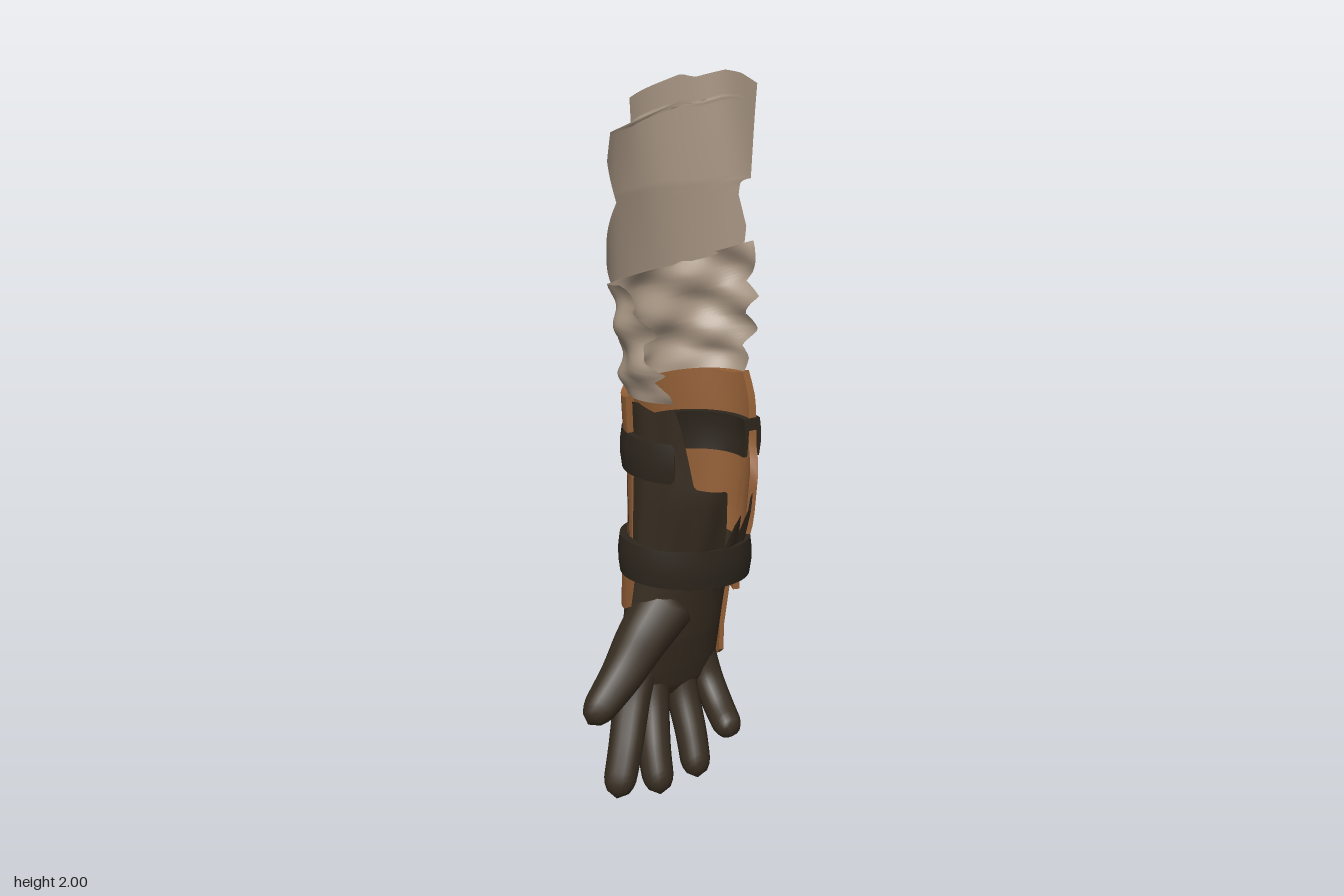
import * as THREE from 'three';
import { mergeVertices, toCreasedNormals } from 'three/addons/utils/BufferGeometryUtils.js';

const mat = (name, color) => new THREE.MeshStandardMaterial({ name, color, side: THREE.DoubleSide });

// Piecewise linear lookup in rows of [key, ...values]
function look(table, t) {
  if (t <= table[0][0]) return table[0].slice(1);
  for (let i = 1; i < table.length; i++) {
    const a = table[i - 1], b = table[i];
    if (t <= b[0]) {
      const k = (t - a[0]) / (b[0] - a[0]);
      return a.slice(1).map((v, j) => v + (b[j + 1] - v) * k);
    }
  }
  return table[table.length - 1].slice(1);
}
const mix = (a, b, t) => a + (b - a) * t;

// Curved sheet round the arm. Profile rows are [y, cx, cz, rx, rz].
// rule(u, v) gives [angle, y, swell]; angle 0 is the back, 90 is +x, 180 the front.
function shell(profile, nu, nv, rule, thick = 0) {
  const pos = [], idx = [], w = nu + 1, layer = w * (nv + 1);
  for (const inset of thick ? [0, thick] : [0])
    for (let j = 0; j <= nv; j++)
      for (let i = 0; i <= nu; i++) {
        const [deg, y, swell = 0] = rule(i / nu, j / nv);
        const [cx, cz, rx, rz] = look(profile, y);
        const a = THREE.MathUtils.degToRad(deg), r = swell - inset;
        pos.push(cx + (rx + r) * Math.sin(a), y, cz - (rz + r) * Math.cos(a));
      }
  const quad = (a, b, c, d) => idx.push(a, b, c, a, c, d);
  for (let j = 0; j < nv; j++)
    for (let i = 0; i < nu; i++) {
      const a = j * w + i, b = a + 1, c = b + w, d = a + w;
      quad(a, d, c, b);
      if (thick) quad(a + layer, b + layer, c + layer, d + layer);
    }
  if (thick) { // rims between outer and inner sheet
    for (let i = 0; i < nu; i++) {
      const t = nv * w + i;
      quad(i, i + 1, i + 1 + layer, i + layer);
      quad(t + 1, t, t + layer, t + 1 + layer);
    }
    for (let j = 0; j < nv; j++) {
      const l = j * w, r = l + nu;
      quad(l + w, l, l + layer, l + w + layer);
      quad(r, r + w, r + w + layer, r + layer);
    }
  }
  let g = new THREE.BufferGeometry();
  g.setAttribute('position', new THREE.Float32BufferAttribute(pos, 3));
  g.setIndex(idx);
  g = mergeVertices(g, 1e-5);
  g.computeVertexNormals();
  return thick ? toCreasedNormals(g, 0.7) : g;
}

// Tapered finger along a curve, rounded at both ends
function fingerGeometry(points, r0, r1) {
  const n = 24, sides = 12;
  const curve = new THREE.CatmullRomCurve3(points.map(p => new THREE.Vector3(...p)));
  const g = new THREE.TubeGeometry(curve, n, 1, sides);
  const p = g.attributes.position, nor = g.attributes.normal;
  for (let k = 0; k < p.count; k++) {
    const t = Math.floor(k / (sides + 1)) / n, e = Math.max(0, (t - 0.85) / 0.15, (0.1 - t) / 0.1);
    const s = mix(r0, r1, t) * Math.sqrt(Math.max(0, 1 - e * e)) - 1;
    p.setXYZ(k, p.getX(k) + nor.getX(k) * s, p.getY(k) + nor.getY(k) * s, p.getZ(k) + nor.getZ(k) * s);
  }
  g.deleteAttribute('normal');
  g.deleteAttribute('uv');
  const m = mergeVertices(g, 1e-5);
  m.computeVertexNormals();
  return m;
}

export function createModel() {
  const group = new THREE.Group();
  group.name = 'armoredArm';
  const cloth = mat('linen', 0xa59381), leather = mat('tanLeather', 0x935f36);
  const glove = mat('darkGlove', 0x372d21), belt = mat('strapLeather', 0x2d261d);
  const add = (name, geometry, material) => {
    const m = new THREE.Mesh(geometry, material);
    m.name = name;
    group.add(m);
  };

  // Upper sleeve: torn sheet behind the arm
  const upLeft = [[0, -44], [0.18, -62], [0.45, -38], [0.7, -52], [0.85, -47], [0.8625, -20], [1, -20]];
  const upRight = [[0, 58], [0.1, 59], [0.3, 53], [0.37, 54], [0.4, 62], [1, 68]];
  const upTop = [[-20, 1.94], [18, 1.99], [27, 1.98], [46, 2], [56, 1.995], [68, 1.97]];
  const upBottom = [[-50, 1.465], [10, 1.465], [35, 1.49], [58, 1.53]];
  add('upperSleeve', shell([[1.47, 0.1, 0.025, 0.265, 0.196], [1.7, 0.1, 0.025, 0.262, 0.192], [2, 0.1, 0.05, 0.25, 0.245]],
    24, 80, (u, v) => {
      const a = mix(look(upLeft, v)[0], look(upRight, v)[0], u);
      return [a, mix(look(upBottom, a)[0], look(upTop, a)[0], v), 0.004 * Math.sin(a * 0.12 + v * 3)];
    }), cloth);

  // Lower sleeve: bunched folds, open and frayed at the front
  const lowLeft = [[0, -138], [0.1, -135], [0.22, -122], [0.3, -133], [0.42, -116], [0.55, -112], [0.66, -126],
    [0.76, -122], [0.84, -106], [0.9, -108], [1, -98]];
  const lowRight = [[0, 82], [0.12, 88], [0.2, 74], [0.33, 90], [0.45, 76], [0.58, 92], [0.7, 72], [0.82, 88], [1, 78]];
  const lowTop = [[-138, 1.44], [-90, 1.49], [-50, 1.465], [10, 1.47], [40, 1.5], [85, 1.55]];
  add('lowerSleeve', shell([[1.17, 0.1, 0, 0.19, 0.135], [1.22, 0.1, 0, 0.206, 0.154], [1.3, 0.1, -0.005, 0.212, 0.153],
    [1.5, 0.1, -0.01, 0.23, 0.165]],
    44, 36, (u, v) => {
      const a = mix(look(lowLeft, v)[0], look(lowRight, v)[0], u);
      const y = mix(1.175, look(lowTop, a)[0], v);
      return [a, y, Math.min(1, v * 5) * (0.01 * Math.sin(y * 46 + a * 0.06) + 0.006 * Math.sin(y * 27 - a * 0.1))];
    }), cloth);

  // Forearm guard wrapping the back and the +x side
  const guardRight = [[0, 116], [0.5, 116], [0.62, 100], [0.85, 92], [1, 80]];
  add('forearmGuard', shell([[0.58, 0.075, 0, 0.172, 0.138], [0.75, 0.1, 0, 0.192, 0.152], [0.95, 0.108, 0, 0.2, 0.155],
    [1.1, 0.105, 0, 0.21, 0.165], [1.2, 0.105, 0, 0.213, 0.175]],
    36, 16, (u, v) => {
      const a = mix(-85, look(guardRight, v)[0], u);
      return [a, mix(0.58, 1.185 + 0.02 * Math.cos(a * 0.05), v)];
    }, 0.024), leather);

  // Wrist ridge
  add('wristRidge', shell([[0.505, 0.068, 0, 0.165, 0.135], [0.525, 0.068, 0, 0.182, 0.15], [0.56, 0.068, 0, 0.182, 0.148],
    [0.66, 0.07, 0, 0.182, 0.14]],
    32, 8, (u, v) => {
      const a = mix(-95, 108, u);
      return [a, mix(0.52 - 0.015 * Math.cos(a * Math.PI / 90), 0.655, v)];
    }, 0.02), leather);

  // Plate over the back of the hand
  add('handPlate', shell([[0.28, 0.04, 0, 0.165, 0.13], [0.31, 0.04, 0, 0.163, 0.122], [0.42, 0.046, 0, 0.158, 0.116],
    [0.55, 0.06, 0, 0.16, 0.128]],
    28, 10, (u, v) => {
      const a = mix(-82, 106, u);
      return [a, mix(0.28 + 0.06 * (a / 106) ** 4, 0.55, v)];
    }, 0.014), leather);

  // Torn glove cuff over the front and the -x side
  const cuffTop = [[100, 0.78], [120, 0.85], [130, 0.8], [143, 0.82], [150, 0.76], [158, 0.83], [165, 0.8], [170, 0.73],
    [175, 0.82], [183, 0.925], [212, 0.94], [222, 1.1], [228, 1.17], [245, 1.15], [262, 1.17], [285, 1.15]];
  add('gloveCuff', shell([[0.58, 0.065, 0, 0.16, 0.1], [0.7, 0.085, 0, 0.178, 0.132], [0.92, 0.1, 0, 0.188, 0.19],
    [1.0, 0.105, 0, 0.19, 0.182], [1.17, 0.105, 0, 0.196, 0.19]],
    74, 12, (u, v) => {
      const a = mix(100, 285, u);
      return [a, mix(0.58, look(cuffTop, a)[0], v), 0.003 * Math.sin(a * 0.2)];
    }), glove);

  // Straps: the upper one is open at the front and shows inside the guard, the lower one is a full loop
  const strap = (name, y, h, section, a0, a1, tilt, thick) =>
    add(name, shell([[0, ...section]], 48, 3, (u, v) => {
      const a = mix(a0, a1, u);
      return [a, y + h * (v - 0.5) - tilt * Math.sin(a * Math.PI / 180), v > 0.1 && v < 0.9 ? 0.005 : 0];
    }, thick), belt);
  strap('upperStrap', 1.0, 0.115, [0.108, 0, 0.213, 0.172], -136, 97, 0.014, 0.052);
  strap('lowerStrap', 0.675, 0.115, [0.085, -0.006, 0.2, 0.152], 0, 360, 0.025, 0.022);

  // Palm, closed at the knuckles
  add('palm', shell([[0.235, 0.035, 0.0, 0.002, 0.002], [0.245, 0.035, -0.005, 0.1, 0.035], [0.28, 0.035, -0.012, 0.145, 0.06],
    [0.34, 0.035, -0.012, 0.157, 0.076], [0.45, 0.035, 0, 0.16, 0.088], [0.55, 0.046, 0, 0.16, 0.1], [0.72, 0.08, 0, 0.165, 0.125]],
    36, 40, (u, v) => [u * 360, mix(0.235, 0.7, v ** 1.4)]), glove);

  // Fingers and thumb
  const fingers = {
    thumb: [[[0.02, 0.56, 0.015], [-0.1, 0.475, 0.055], [-0.2, 0.412, 0.105], [-0.335, 0.315, 0.145]], 0.095, 0.042],
    indexFinger: [[[-0.055, 0.39, -0.02], [-0.115, 0.26, 0.02], [-0.18, 0.15, 0.085], [-0.24, 0.035, 0.135]], 0.058, 0.046],
    middleFinger: [[[-0.015, 0.37, -0.03], [-0.045, 0.23, 0.015], [-0.08, 0.11, 0.085], [-0.098, 0.003, 0.145]], 0.056, 0.045],
    ringFinger: [[[0.06, 0.37, -0.03], [0.062, 0.23, 0.015], [0.052, 0.12, 0.08], [0.035, 0.01, 0.14]], 0.053, 0.043],
    littleFinger: [[[0.13, 0.38, -0.02], [0.146, 0.26, 0.02], [0.143, 0.195, 0.085], [0.125, 0.145, 0.185]], 0.05, 0.042],
  };
  for (const [name, args] of Object.entries(fingers)) add(name, fingerGeometry(...args), glove);

  return group;
}
